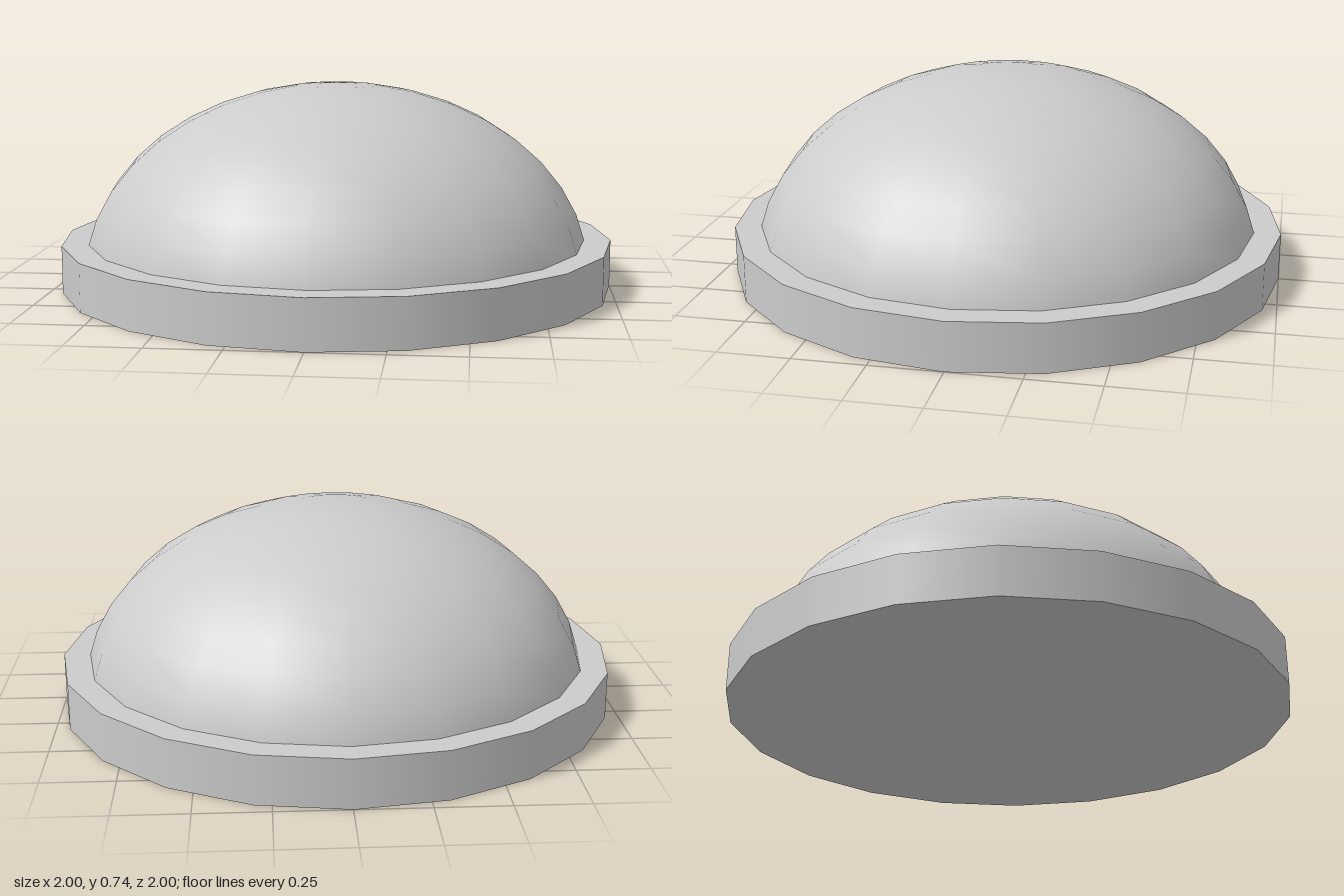
import * as THREE from 'three';

export function createModel() {
  const group = new THREE.Group();
  const material = new THREE.MeshStandardMaterial({ color: 0xcccccc });
  const sides = 20;
  const baseHeight = 0.17;

  // Flat round base
  const base = new THREE.Mesh(new THREE.CylinderGeometry(1, 1, baseHeight, sides), material);
  base.name = 'base';
  base.position.y = baseHeight / 2;
  group.add(base);

  // Flattened dome, its lower edge sunk into the base
  const dome = new THREE.Mesh(
    new THREE.SphereGeometry(1, sides, 10, 0, Math.PI * 2, 0, Math.PI / 2), material);
  dome.name = 'dome';
  dome.scale.set(0.92, 0.685, 0.92);
  dome.position.y = 0.05;
  group.add(dome);

  return group;
}
